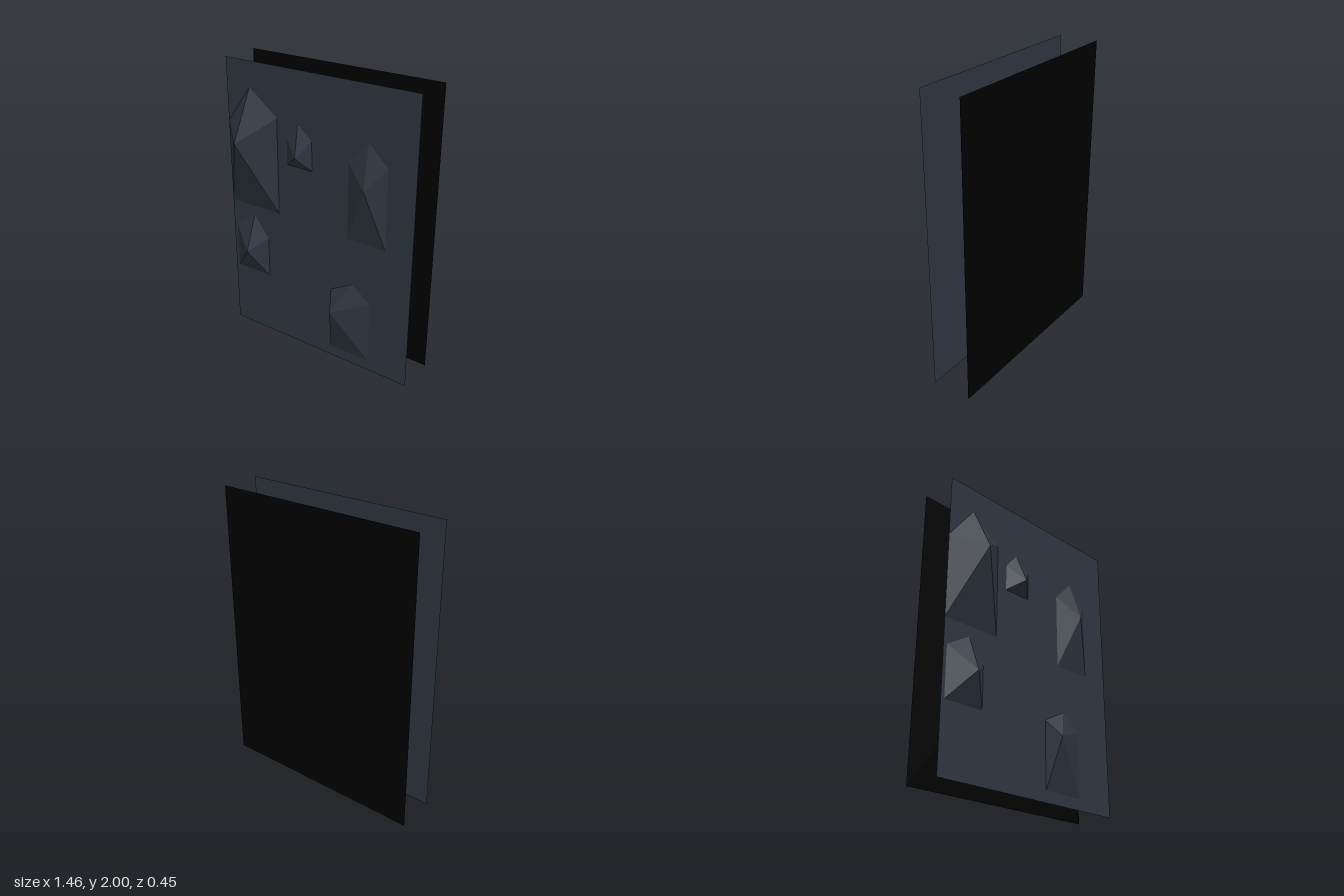
import * as THREE from 'three';

const W = 1.456, H = 2, FRONT_Z = 0.05, BACK_Z = -0.225;

const slate = new THREE.MeshStandardMaterial({ color: 0x2d3540, side: THREE.DoubleSide });
slate.name = 'slate';
const black = new THREE.MeshStandardMaterial({ color: 0x000000, side: THREE.DoubleSide });
black.name = 'black';

// Faceted spike: five-sided house-shaped base on the panel, rising to one apex.
// Left and right edges are vertical, the bottom is level, the top is a gable.
function spike({ left, right, bottom, leftTop, rightTop, peak, apex }) {
  const base = [
    [left, bottom], [right, bottom], [right, rightTop], peak, [left, leftTop],
  ];
  const points = [];
  base.forEach(([x, y], i) => {
    const [nx, ny] = base[(i + 1) % base.length];
    points.push(x, y, FRONT_Z, nx, ny, FRONT_Z, ...apex);
  });
  const geometry = new THREE.BufferGeometry();
  geometry.setAttribute('position', new THREE.Float32BufferAttribute(points, 3));
  geometry.computeVertexNormals(); // unshared corners keep the facets flat
  return geometry;
}

const spikes = {
  largeUpperSpike: {
    left: -0.728, right: -0.313, bottom: 0.98, leftTop: 1.563, rightTop: 1.657,
    peak: [-0.534, 1.828], apex: [-0.534, 1.484, 0.225],
  },
  smallUpperSpike: {
    left: -0.235, right: -0.034, bottom: 1.357, leftTop: 1.54, rightTop: 1.558,
    peak: [-0.145, 1.653], apex: [-0.116, 1.447, 0.122],
  },
  tallUpperSpike: {
    left: 0.247, right: 0.532, bottom: 0.957, leftTop: 1.486, rightTop: 1.505,
    peak: [0.39, 1.64], apex: [0.41, 1.357, 0.132],
  },
  lowerRightSpike: {
    left: -0.702, right: -0.415, bottom: 0.46, leftTop: 0.805, rightTop: 0.754,
    peak: [-0.534, 0.91], apex: [-0.534, 0.659, 0.15],
  },
  lowerLeftSpike: {
    left: 0.122, right: 0.431, bottom: 0.077, leftTop: 0.537, rightTop: 0.526,
    peak: [0.294, 0.632], apex: [0.178, 0.421, 0.148],
  },
};

export function createModel() {
  const group = new THREE.Group();
  group.name = 'spikedWallPanel';

  const add = (name, geometry, material) => {
    const mesh = new THREE.Mesh(geometry, material);
    mesh.name = name;
    group.add(mesh);
    return mesh;
  };

  // Two parallel sheets with a gap between them
  add('frontPanel', new THREE.PlaneGeometry(W, H), slate).position.set(0, H / 2, FRONT_Z);
  add('backPanel', new THREE.PlaneGeometry(W, H), black).position.set(0, H / 2, BACK_Z);

  // Spikes standing out from the front sheet
  for (const [name, shape] of Object.entries(spikes)) add(name, spike(shape), slate);

  return group;
}
